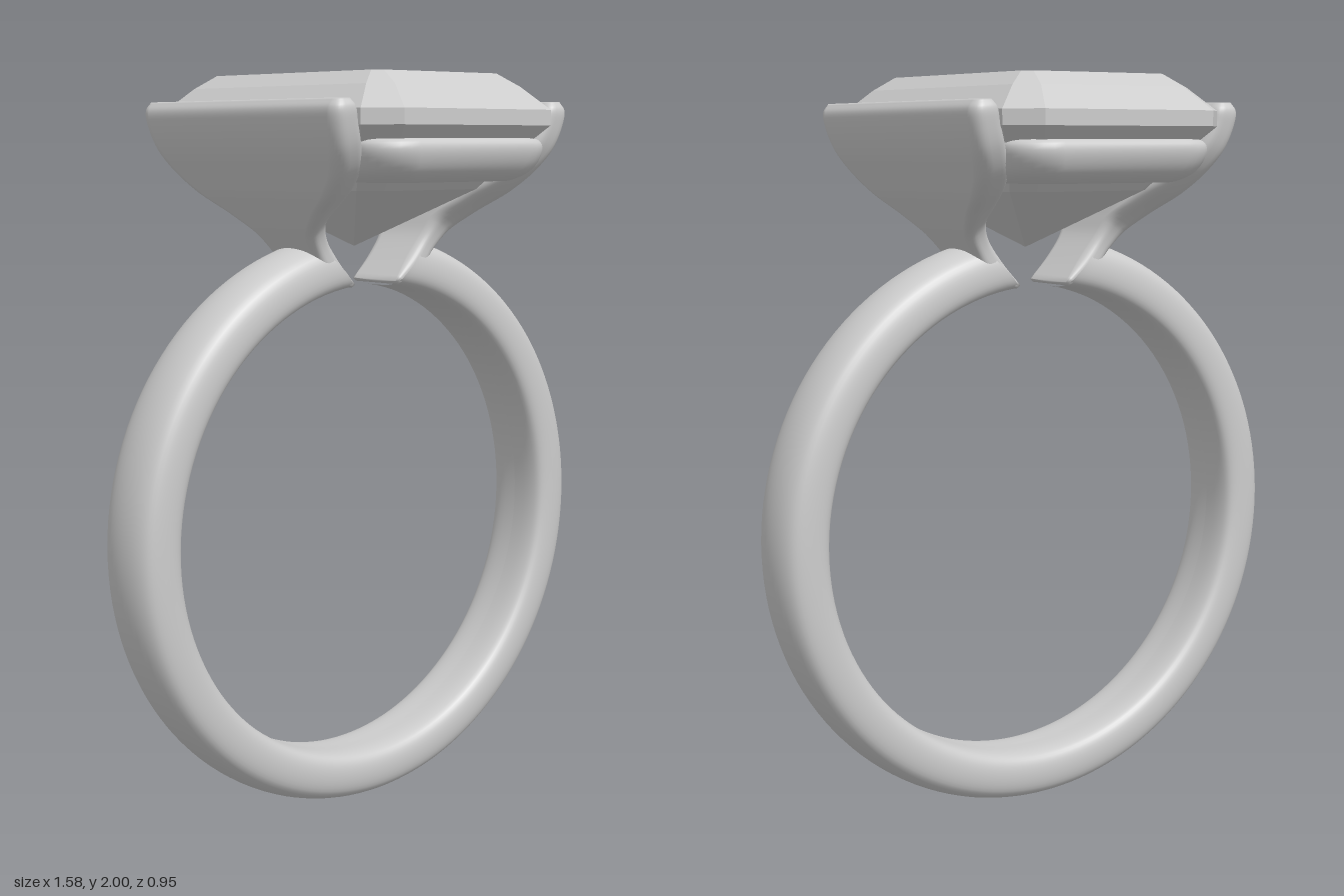
import * as THREE from 'three';

// Skin closed loops of points; loops run x -> z and stack upward on the outer side.
function loft(rows, closed) {
  const n = rows[0].length, m = rows.length;
  const pos = rows.flat().flatMap(p => [p.x, p.y, p.z]);
  const index = [];
  for (let i = 0; i < (closed ? m : m - 1); i++) {
    for (let j = 0; j < n; j++) {
      const k = (j + 1) % n, u = ((i + 1) % m) * n;
      const a = i * n + j, b = i * n + k, c = u + j, d = u + k;
      index.push(a, c, b, b, c, d);
    }
  }
  if (!closed) {
    [0, m - 1].forEach((r, end) => {
      const mid = new THREE.Vector3();
      rows[r].forEach(p => mid.addScaledVector(p, 1 / n));
      const c = pos.length / 3;
      pos.push(mid.x, mid.y, mid.z);
      for (let j = 0; j < n; j++) {
        const a = r * n + j, b = r * n + (j + 1) % n;
        if (end) index.push(c, b, a); else index.push(c, a, b);
      }
    });
  }
  const g = new THREE.BufferGeometry();
  g.setAttribute('position', new THREE.Float32BufferAttribute(pos, 3));
  g.setIndex(index);
  g.computeVertexNormals();
  return g;
}

// Open band with obliquely cut ends at the top
function bandGeometry() {
  const half = [[0.652, 0.06], [0.662, 0.088], [0.685, 0.1], [0.73, 0.1], [0.763, 0.087], [0.782, 0.055]];
  const loop = [[0.65, 0], ...half.map(([r, z]) => [r, -z]), [0.79, 0], ...half.slice().reverse()];
  const curve = new THREE.CatmullRomCurve3(loop.map(([r, z]) => new THREE.Vector3(r, z, 0)), true);
  const profile = curve.getPoints(48).map(p => new THREE.Vector2(p.x, p.y));
  const g = new THREE.LatheGeometry(profile, 128, -3.1, 6.2);
  g.rotateX(Math.PI / 2);
  const p = g.attributes.position;
  for (let i = 0; i < p.count; i++) {
    const x = p.getX(i), y = p.getY(i), r = Math.hypot(x, y);
    const cut = THREE.MathUtils.mapLinear(r, 0.65, 0.79, 0.114, 0.26);
    const a = Math.atan2(x, -y) * (Math.PI - cut) / 3.1;
    p.setXY(i, r * Math.sin(a), 0.79 - r * Math.cos(a));
  }
  g.computeVertexNormals();
  return g;
}

// Flared shoulder that grips one long side of the stone
function shoulderGeometry() {
  // inner x, y, outer x, y, half width in z
  const stations = [
    [0.075, 1.45, 0.085, 1.44, 0.09], [0.13, 1.515, 0.17, 1.47, 0.097],
    [0.175, 1.575, 0.215, 1.53, 0.102], [0.195, 1.62, 0.255, 1.58, 0.125],
    [0.212, 1.665, 0.295, 1.635, 0.2], [0.235, 1.715, 0.33, 1.685, 0.285],
    [0.265, 1.765, 0.36, 1.74, 0.348], [0.3, 1.82, 0.39, 1.8, 0.385],
    [0.325, 1.875, 0.41, 1.865, 0.4], [0.335, 1.91, 0.413, 1.905, 0.402],
    [0.35, 1.928, 0.398, 1.928, 0.39],
  ];
  const inner = new THREE.CatmullRomCurve3(stations.map(s => new THREE.Vector3(s[0], s[1], s[4])));
  const outer = new THREE.CatmullRomCurve3(stations.map(s => new THREE.Vector3(s[2], s[3], 0)));
  const rows = [];
  for (let i = 0; i <= 50; i++) {
    const a = inner.getPoint(i / 50), b = outer.getPoint(i / 50), w = a.z;
    const t = Math.hypot(a.x - b.x, a.y - b.y) / 2;
    const row = [];
    for (let j = 0; j < 32; j++) {
      const q = (j + 0.5) / 32 * Math.PI * 2, c = Math.cos(q), s = Math.sin(q);
      const k = 0.5 + 0.5 * Math.sign(c) * Math.pow(Math.abs(c), 0.6);
      row.push(new THREE.Vector3(a.x + (b.x - a.x) * k, a.y + (b.y - a.y) * k,
        Math.sign(s) * (w - t) + s * t));
    }
    rows.push(row);
  }
  return loft(rows, false);
}

// Rounded rail running around the stone below its girdle
function railGeometry() {
  const section = [[-0.055, 1.728], [-0.022, 1.75], [-0.003, 1.785], [0, 1.815], [-0.012, 1.83],
    [-0.04, 1.832], [-0.085, 1.815], [-0.11, 1.775], [-0.105, 1.735], [-0.08, 1.722]];
  const curve = new THREE.CatmullRomCurve3(section.map(([o, y]) => new THREE.Vector3(o, y, 0)), true);
  const rows = curve.getPoints(30).slice(0, 30).map(({ x: o, y }) => {
    const r = 0.11 + o * 0.4, row = [];
    for (let c = 0; c < 4; c++) {
      const sx = c === 0 || c === 3 ? 1 : -1, sz = c < 2 ? 1 : -1;
      for (let j = 0; j <= 6; j++) {
        const q = (c + j / 6) * Math.PI / 2;
        row.push(new THREE.Vector3(sx * (0.305 + o - r) + r * Math.cos(q), y,
          sz * (0.467 + o - r) + r * Math.sin(q)));
      }
    }
    return row;
  });
  return loft(rows, true);
}

// Step-cut stone: stacked rectangles with clipped corners
function stoneGeometry() {
  // y, half x, half z, corner clip
  const steps = [[1.545, 0.002, 0.002, 0.0005], [1.7, 0.215, 0.3, 0.05], [1.8, 0.28, 0.405, 0.065],
    [1.865, 0.335, 0.475, 0.075], [1.905, 0.335, 0.475, 0.075],
    [1.965, 0.272, 0.4, 0.05], [2, 0.222, 0.335, 0.022]];
  const rows = steps.map(([y, x, z, c]) =>
    [[x, z - c], [x - c, z], [c - x, z], [-x, z - c], [-x, c - z], [c - x, -z], [x - c, -z], [x, c - z]]
      .map(([px, pz]) => new THREE.Vector3(px, y, pz)));
  const g = loft(rows, false).toNonIndexed();
  g.computeVertexNormals();
  return g;
}

export function createModel() {
  const group = new THREE.Group();
  group.name = 'ring';
  const silver = new THREE.MeshStandardMaterial({ color: 0xcccccc });
  silver.name = 'silver';
  const add = (name, geometry) => {
    const mesh = new THREE.Mesh(geometry, silver);
    mesh.name = name;
    group.add(mesh);
    return mesh;
  };
  add('band', bandGeometry());
  const shoulder = shoulderGeometry();
  add('leftShoulder', shoulder);
  add('rightShoulder', shoulder).rotation.y = Math.PI;
  add('galleryRail', railGeometry());
  add('stone', stoneGeometry());
  return group;
}
